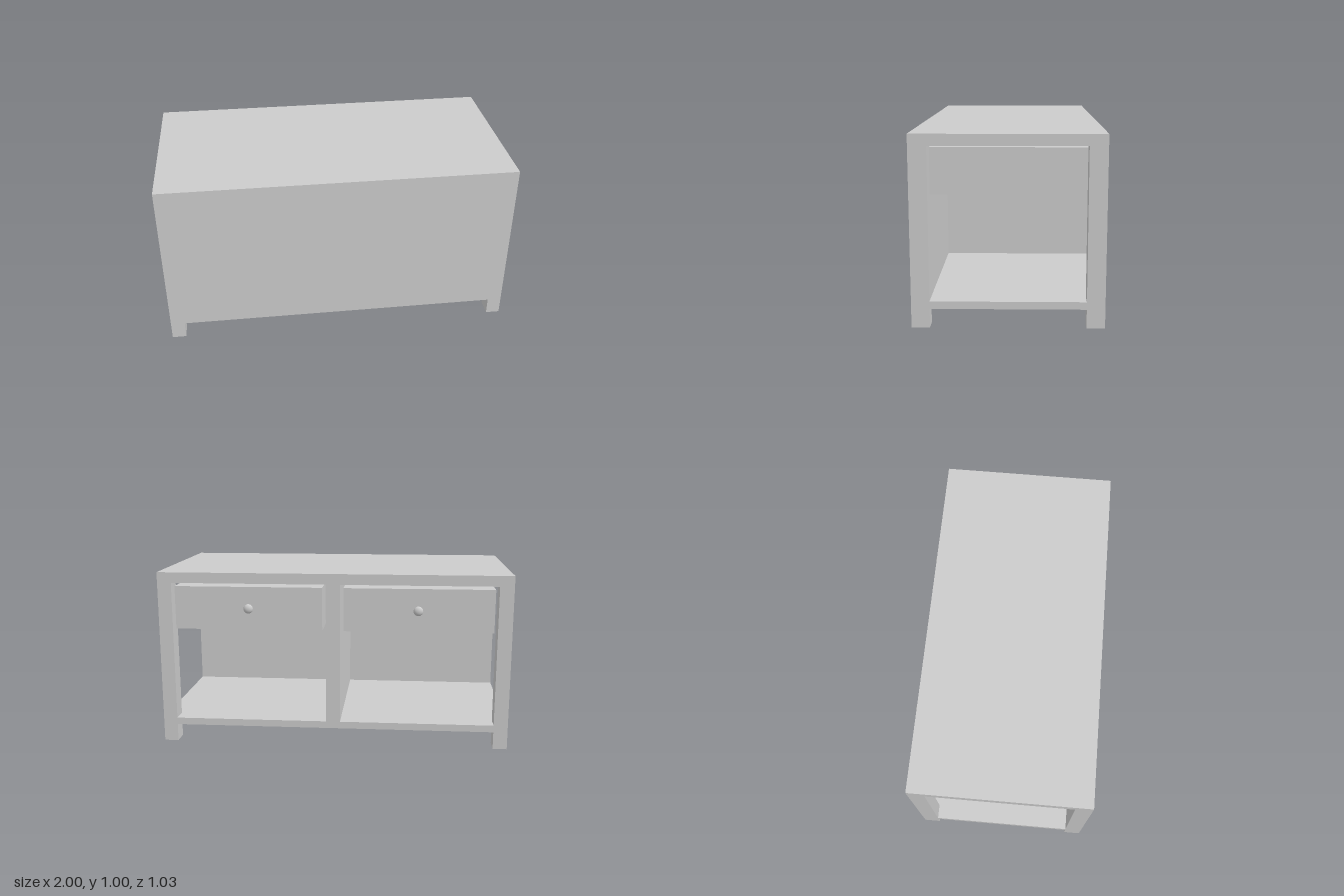
import * as THREE from 'three';

export function createModel() {
  const group = new THREE.Group();
  const material = new THREE.MeshStandardMaterial({ color: 0xcccccc });

  // Box given by its limits on each axis
  const box = (name, [x0, x1], [y0, y1], [z0, z1]) => {
    const mesh = new THREE.Mesh(new THREE.BoxGeometry(x1 - x0, y1 - y0, z1 - z0), material);
    mesh.name = name;
    mesh.position.set((x0 + x1) / 2, (y0 + y1) / 2, (z0 + z1) / 2);
    group.add(mesh);
  };

  const back = -0.48, front = 0.515;       // outer depth limits
  const innerBack = -0.385, innerFront = 0.42;
  const shelfY = 0.1, shelfTop = 0.14, topY = 0.94;

  // Slabs, closed front wall and central divider
  box('tableTop', [-1, 1], [topY, 1], [back, front]);
  box('shelf', [-1, 1], [shelfY, shelfTop], [back, front]);
  box('frontPanel', [-1, 1], [shelfTop, topY], [innerFront, front]);
  box('divider', [-0.04, 0.04], [shelfTop, topY], [back, innerFront]);

  for (const side of [-1, 1]) {
    const label = side > 0 ? 'left' : 'right';
    const span = (a, b) => (side > 0 ? [a, b] : [-b, -a]);

    // Feet and the open-side posts
    box(label + 'FrontFoot', span(0.92, 1), [0, shelfY], [innerFront, front]);
    box(label + 'BackFoot', span(0.92, 1), [0, shelfY], [back, innerBack]);
    box(label + 'BackPost', span(0.92, 1), [shelfTop, topY], [back, innerBack]);

    // Drawer with a small gap around it, and its flattened knob
    box(label + 'Drawer', span(0.06, 0.9), [0.677, 0.922], [back, innerFront]);
    const knob = new THREE.Mesh(new THREE.SphereGeometry(0.027, 24, 16), material);
    knob.name = label + 'Knob';
    knob.scale.z = 0.68;
    knob.position.set(side * 0.477, 0.8, -0.497);
    group.add(knob);
  }
  return group;
}
